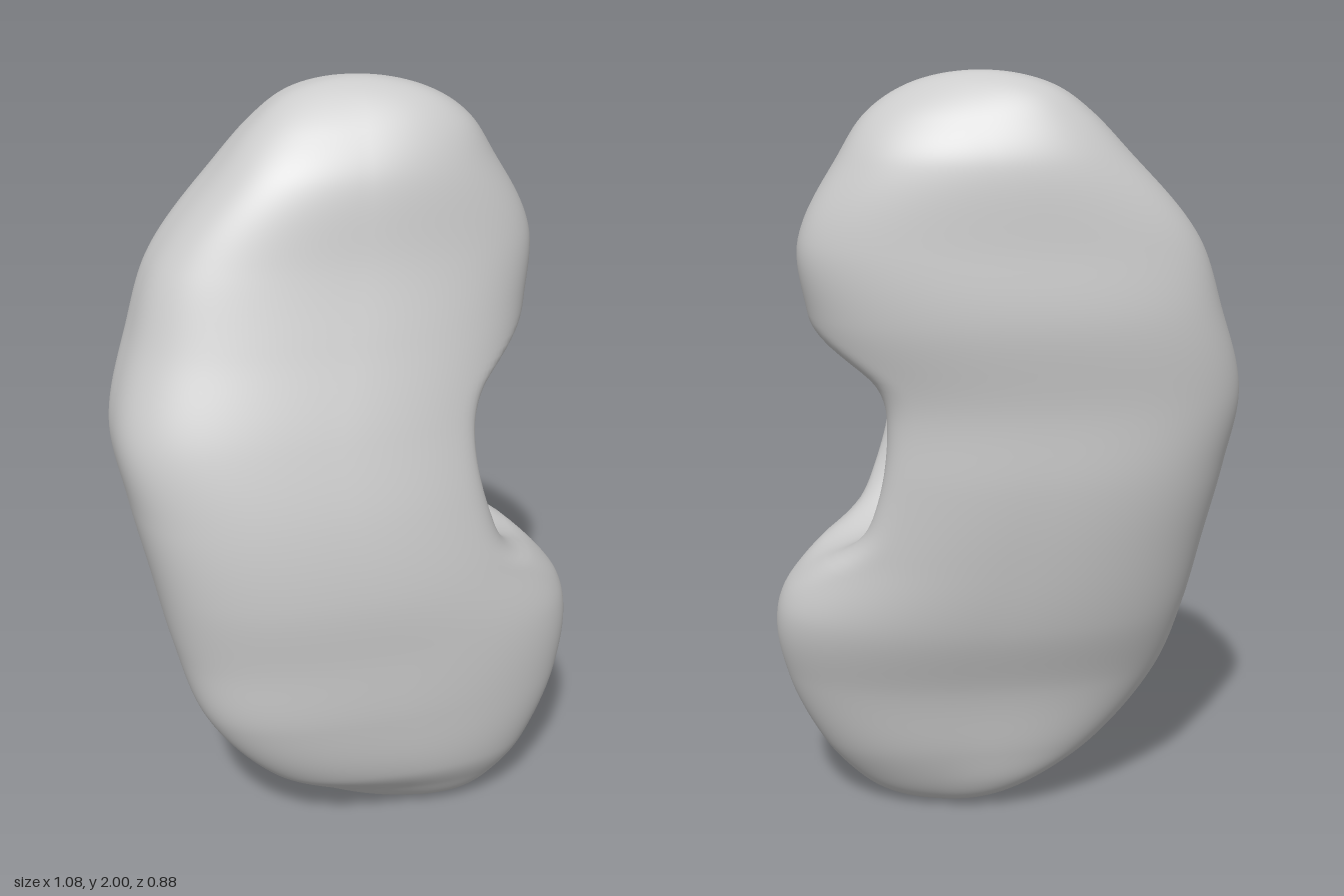
import * as THREE from 'three';
import { mergeVertices } from 'three/addons/utils/BufferGeometryUtils.js';

// Cross-sections from top to bottom: [y, centreX, centreZ, half length, half thickness, turn in degrees]
const SECTIONS = [
  [2.0, 0.13, -0.08, 0, 0, 44],
  [1.97, 0.13, -0.072, 0.165, 0.078, 43],
  [1.9, 0.13, -0.065, 0.27, 0.145, 37],
  [1.8, 0.115, -0.068, 0.352, 0.198, 32],
  [1.6, 0.078, -0.073, 0.487, 0.228, 30],
  [1.42, 0.03, -0.073, 0.512, 0.26, 30],
  [1.2, -0.045, -0.055, 0.519, 0.283, 30],
  [1.0, -0.045, -0.02, 0.508, 0.303, 30],
  [0.8, -0.015, 0.026, 0.515, 0.298, 30],
  [0.6, 0.035, 0.075, 0.54, 0.27, 30],
  [0.4, 0.038, 0.113, 0.5, 0.225, 30],
  [0.2, 0.065, 0.137, 0.38, 0.18, 33],
  [0.1, 0.1, 0.145, 0.273, 0.127, 39],
  [0.03, 0.122, 0.157, 0.16, 0.072, 43],
  [0.0, 0.13, 0.165, 0, 0, 44],
];
// How far the inner side reaches along the long axis: [y, reach]
const NOTCH = [
  [2.0, 1.2], [1.6, 0.85], [1.5, 0.7], [1.42, 0.58], [1.36, 0.49], [1.31, 0.41], [1.27, 0.355], [1.23, 0.328],
  [1.17, 0.315], [1.05, 0.322], [0.93, 0.348], [0.85, 0.38], [0.8, 0.43], [0.76, 0.5], [0.69, 0.6], [0.55, 0.8],
  [0.0, 1.2],
];

const toPhi = (y) => Math.acos(THREE.MathUtils.clamp(y - 1, -1, 1));

// Smooth Hermite interpolation of one table column
function sample(table, col, phi) {
  const n = table.length;
  const p = (i) => toPhi(table[i][0]);
  let i = 0;
  while (i < n - 2 && phi > p(i + 1)) i++;
  const slope = (k) => {
    const a = Math.max(k - 1, 0), b = Math.min(k + 1, n - 1);
    return (table[b][col] - table[a][col]) / (p(b) - p(a));
  };
  const h = p(i + 1) - p(i), t = (phi - p(i)) / h, t2 = t * t, t3 = t2 * t;
  return (2 * t3 - 3 * t2 + 1) * table[i][col] + (t3 - 2 * t2 + t) * h * slope(i)
    + (3 * t2 - 2 * t3) * table[i + 1][col] + (t3 - t2) * h * slope(i + 1);
}

// Minimum with a rounded transition
function softMin(a, b, k) {
  const h = Math.max(k - Math.abs(a - b), 0) / k;
  return Math.min(a, b) - h * h * k * 0.25;
}

const power = (x, e) => Math.sign(x) * Math.abs(x) ** e;

// Bluntness of each quarter of the section: fullest on the outer front
function bluntness(c, s) {
  if (c < 0) return s > 0 ? 2.8 : 2.5;
  return s > 0 ? 2.1 : 2.3;
}

function bodyGeometry(rows = 160, cols = 144) {
  const pos = [], index = [];
  for (let i = 0; i <= rows; i++) {
    const phi = (Math.PI * i) / rows;
    const y = 1 + Math.cos(phi);
    const [cx, cz, a, b, turn] = [1, 2, 3, 4, 5].map((col) => sample(SECTIONS, col, phi));
    const tilt = THREE.MathUtils.degToRad(turn);
    const C = Math.cos(tilt), S = Math.sin(tilt);
    const cu = cx * C + cz * S, cv = cz * C - cx * S;
    const reach = sample(NOTCH, 1, phi);
    for (let j = 0; j < cols; j++) {
      const th = (2 * Math.PI * j) / cols;
      const c = Math.cos(th), s = Math.sin(th), e = 2 / bluntness(c, s);
      let u = cu + a * power(c, e);
      const v = cv + b * power(s, e);
      if (c > 0) {
        // Waist on the inner side, with an oval hollow between its two lips
        const r2 = ((y - 1.03) / 0.23) ** 2 + ((v - 0.015) / 0.145) ** 2;
        u = softMin(u, reach, 0.07) - 0.15 * Math.exp(-(r2 ** 3));
      }
      pos.push(u * C - v * S, y, u * S + v * C);
      if (i < rows) {
        const p = i * cols + j, q = i * cols + ((j + 1) % cols);
        if (i > 0) index.push(p, q, p + cols);
        if (i < rows - 1) index.push(q, q + cols, p + cols);
      }
    }
  }
  let geo = new THREE.BufferGeometry();
  geo.setAttribute('position', new THREE.Float32BufferAttribute(pos, 3));
  geo.setIndex(index);
  geo = mergeVertices(geo, 1e-5);
  geo.computeVertexNormals();
  return geo;
}

export function createModel() {
  const group = new THREE.Group();
  group.name = 'kidney';
  const body = new THREE.Mesh(bodyGeometry(), new THREE.MeshStandardMaterial({ color: 0xcccccc }));
  body.name = 'kidneyBody';
  group.add(body);
  return group;
}
